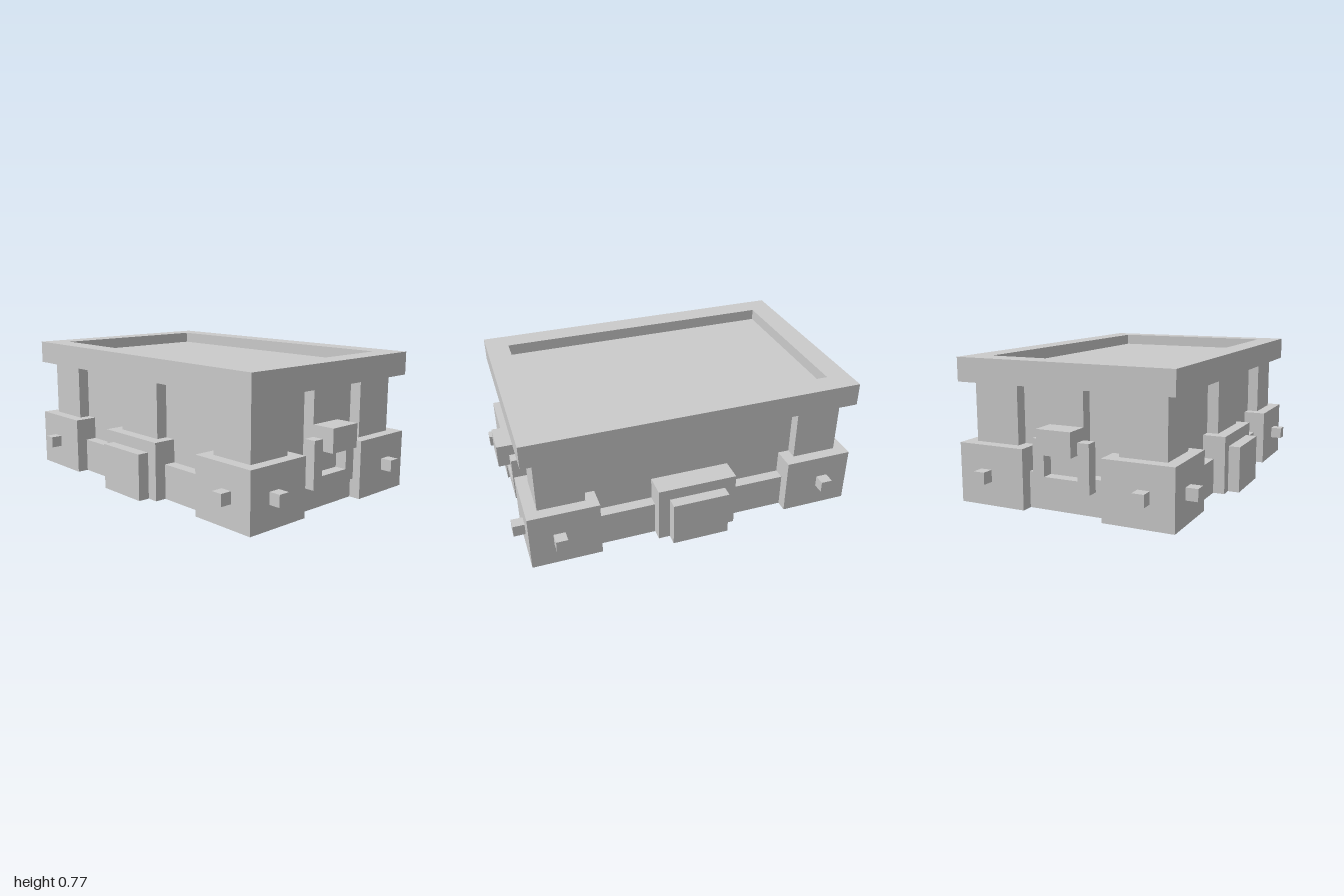
import * as THREE from 'three';

const U = 2 / 31; // one block unit
const material = new THREE.MeshStandardMaterial({ color: 0xcccccc, flatShading: true });

export function createModel() {
  const model = new THREE.Group();
  model.name = 'chest';

  // Box given by its limits, in block units
  const box = (name, x0, x1, y0, y1, z0, z1, parent = model) => {
    const geometry = new THREE.BoxGeometry((x1 - x0) * U, (y1 - y0) * U, (z1 - z0) * U);
    const mesh = new THREE.Mesh(geometry, material);
    mesh.position.set((x0 + x1) / 2 * U, (y0 + y1) / 2 * U, (z0 + z1) / 2 * U);
    mesh.name = name;
    parent.add(mesh);
  };

  const rect = (T, w, d) => new T([[-w, -d], [w, -d], [w, d], [-w, d]]
    .map(([x, y]) => new THREE.Vector2(x * U, y * U)));

  // Body and low skirt
  box('body', -7.5, 7.5, 0, 10, -12.5, 12.5);
  box('skirt', -8.5, 8.5, 0, 3, -13.5, 13.5);

  // Lid rim with a sunken panel
  const rimShape = rect(THREE.Shape, 9.5, 14.5);
  rimShape.holes.push(rect(THREE.Path, 7.5, 12.5));
  const rimGeometry = new THREE.ExtrudeGeometry(rimShape, { depth: 2 * U, bevelEnabled: false });
  rimGeometry.rotateX(-Math.PI / 2).translate(0, 10 * U, 0);
  const rim = new THREE.Mesh(rimGeometry, material);
  rim.name = 'lidRim';
  model.add(rim);
  box('lidPanel', -7.5, 7.5, 10, 11, -12.5, 12.5);

  // Corners: foot block, post and two studs
  for (const sx of [-1, 1]) for (const sz of [-1, 1]) {
    const corner = new THREE.Group();
    corner.name = 'corner';
    model.add(corner);
    const cornerBox = (name, x0, x1, y0, y1, z0, z1) => box(name,
      Math.min(sx * x0, sx * x1), Math.max(sx * x0, sx * x1), y0, y1,
      Math.min(sz * z0, sz * z1), Math.max(sz * z0, sz * z1), corner);
    cornerBox('cornerFoot', 3.5, 9.5, 0, 5, 8.5, 14.5);
    cornerBox('cornerPost', 4.5, 8.5, 5, 10, 9.5, 13.5);
    cornerBox('endStud', 6.5, 7.5, 2, 3, 14.5, 15.5);
    cornerBox('sideStud', 9.5, 10.5, 2, 3, 11.5, 12.5);
  }

  // Latch on each end: strap, U-shaped catch and block
  for (const angle of [0, Math.PI]) {
    const latch = new THREE.Group();
    latch.name = angle ? 'backLatch' : 'frontLatch';
    latch.rotation.y = angle;
    model.add(latch);
    box('latchStrap', -1.5, 1.5, 3, 10, 12.5, 13.5, latch);
    box('catchBottom', -2.5, 2.5, 2, 3, 13.5, 14.5, latch);
    for (const x of [-2.5, 1.5]) box('catchSide', x, x + 1, 3, 6, 13.5, 14.5, latch);
    box('latchBlock', -1.5, 1.5, 5, 7, 13.5, 15.5, latch);
  }

  // Stepped block on each long side
  for (const angle of [0, Math.PI]) {
    const side = new THREE.Group();
    side.name = angle ? 'rightSideBlock' : 'leftSideBlock';
    side.rotation.y = angle;
    model.add(side);
    box('sideBlock', 7.5, 9.5, 0, 5, -3.5, 3.5, side);
    box('sidePlate', 9.5, 10.5, 0, 4, -2.5, 2.5, side);
  }

  // Hinge post on one long side only
  box('hingePost', -8.5, -7.5, 5, 10, -2.5, 2.5);

  return model;
}
